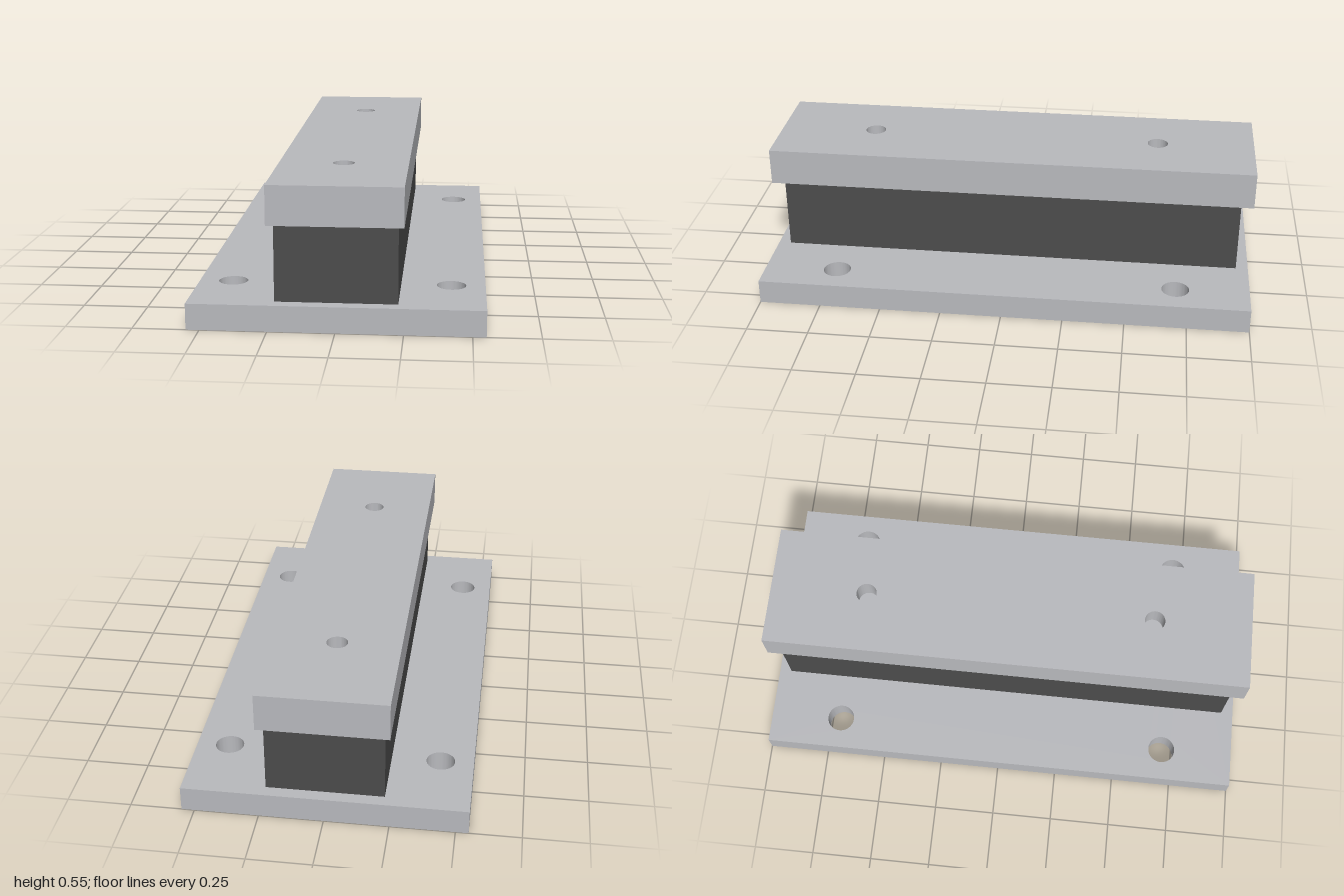
import * as THREE from 'three';
import { toCreasedNormals } from 'three/addons/utils/BufferGeometryUtils.js';

// Flat slab lying in the xz plane, drilled with round holes at [x, z]
function drilledSlab(width, length, height, holes, radius) {
  const w = width / 2, l = length / 2;
  const shape = new THREE.Shape();
  shape.moveTo(-w, -l).lineTo(w, -l).lineTo(w, l).lineTo(-w, l).closePath();
  for (const [x, z] of holes) {
    shape.holes.push(new THREE.Path().absarc(x, -z, radius, 0, Math.PI * 2, true));
  }
  const geometry = new THREE.ExtrudeGeometry(shape, { depth: height, bevelEnabled: false, curveSegments: 32 });
  geometry.rotateX(-Math.PI / 2);
  return toCreasedNormals(geometry, 0.5);
}

export function createModel() {
  const model = new THREE.Group();
  model.name = 'rubberMount';

  const steel = new THREE.MeshStandardMaterial({ color: 0xb9babe });
  steel.name = 'steel grey';
  const rubber = new THREE.MeshStandardMaterial({ color: 0x4c4c4c });
  rubber.name = 'rubber black';

  const add = (name, geometry, material, x, y, z) => {
    const mesh = new THREE.Mesh(geometry, material);
    mesh.name = name;
    mesh.position.set(x, y, z);
    model.add(mesh);
  };

  // Base plate with four through bolt holes
  const boltHoles = [[-0.42, -0.7], [0.42, -0.7], [-0.42, 0.7], [0.42, 0.7]];
  add('basePlate', drilledSlab(1.1, 2, 0.1, boltHoles, 0.056), steel, 0, 0, 0);

  // Rubber block between the steel parts
  add('rubberBlock', new THREE.BoxGeometry(0.456, 0.3, 1.9), rubber, 0, 0.25, 0);

  // Top bar with two blind holes, closed by floor discs
  const blindHoles = [[0, -0.6], [0, 0.6]];
  add('topBar', drilledSlab(0.5, 2, 0.15, blindHoles, 0.042), steel, 0, 0.4, 0);
  for (const [x, z] of blindHoles) {
    const floor = new THREE.CircleGeometry(0.042, 32).rotateX(-Math.PI / 2);
    add('holeFloor', floor, steel, x, 0.45, z);
  }

  return model;
}
